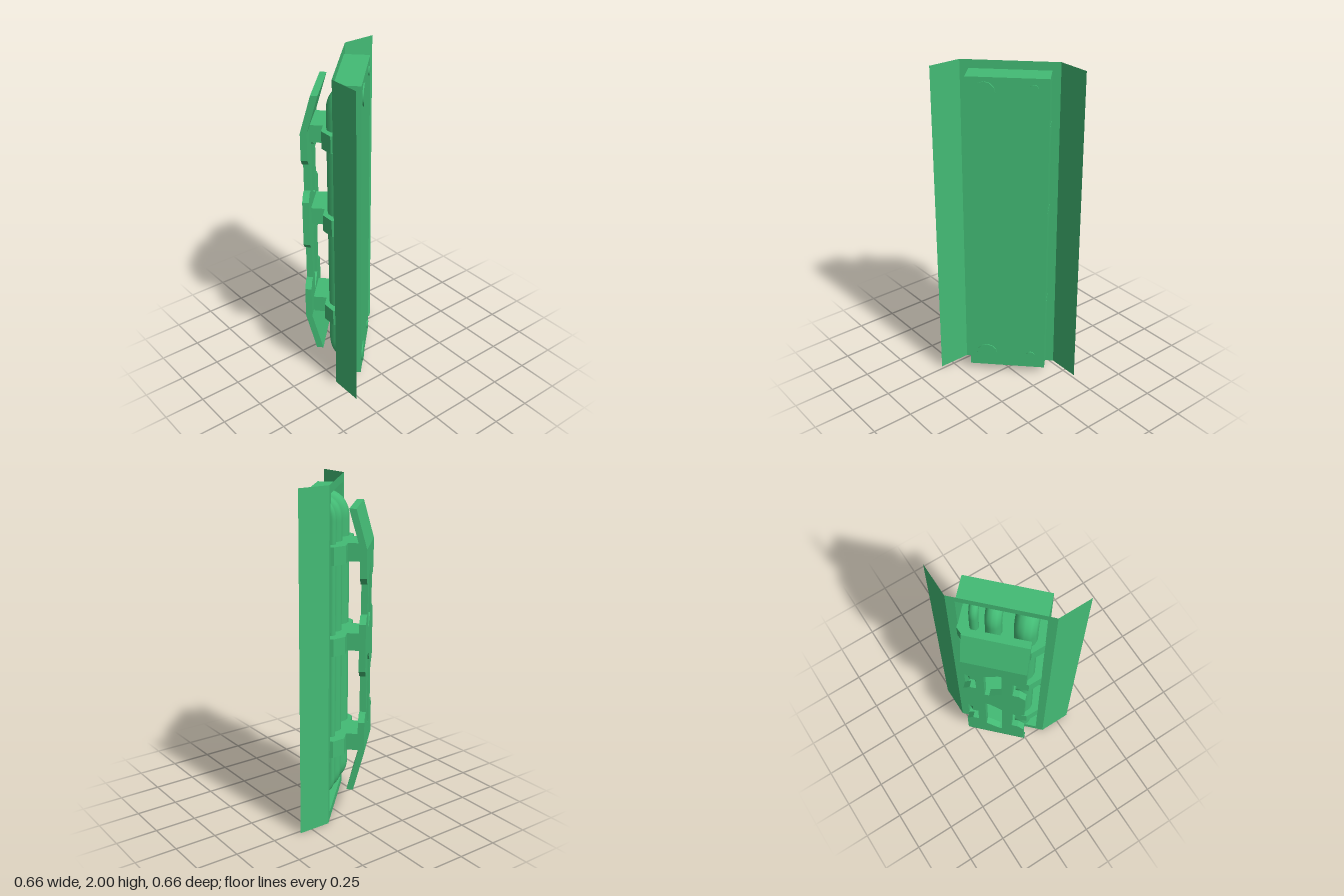
import * as THREE from 'three';

const GREEN = 0x43bb75;

export function createModel() {
  const model = new THREE.Group();
  model.name = 'wallPipeUnit';
  // Local frame: x runs along the chamfered wall, z points out of it.
  const unit = new THREE.Group();
  unit.name = 'chamferedCorner';
  unit.rotation.y = -Math.PI / 4;
  model.add(unit);

  const solid = new THREE.MeshStandardMaterial({ color: GREEN });
  const flat = new THREE.MeshStandardMaterial({ color: GREEN, flatShading: true });
  const thin = new THREE.MeshStandardMaterial({ color: GREEN, side: THREE.DoubleSide });

  const add = (name, geometry, material, parent = unit) => {
    const mesh = new THREE.Mesh(geometry, material);
    mesh.name = name;
    parent.add(mesh);
    return mesh;
  };
  const shapeOf = (pts) => new THREE.Shape(pts.map(([x, y]) => new THREE.Vector2(x, y)));
  const extrude = (shape, depth) => new THREE.ExtrudeGeometry(shape, { depth, bevelEnabled: false });

  // Wall: centre strip with an opening, and two side wings folded back 45 degrees
  const wallZ = 0.098, halfWall = 0.283, halfRecess = 0.234;
  const wall = shapeOf([[-halfWall, 0], [halfWall, 0], [halfWall, 2], [-halfWall, 2]]);
  wall.holes.push(shapeOf([[-halfRecess, 0.05], [-halfRecess, 1.95], [halfRecess, 1.95], [halfRecess, 0.05]]));
  add('wallCentre', new THREE.ShapeGeometry(wall), thin).position.z = wallZ;
  for (const side of [-1, 1]) {
    const wing = add(side < 0 ? 'rightWing' : 'leftWing', new THREE.PlaneGeometry(0.2, 2), thin);
    wing.rotation.y = side * Math.PI / 4;
    wing.position.set(side * (halfWall + 0.0707), 1, wallZ - 0.0707);
  }

  // Recess: box with its front face removed
  const backZ = -0.05, depth = wallZ - backZ;
  const recess = new THREE.BoxGeometry(halfRecess * 2, 1.9, depth);
  const faces = Array.from(recess.index.array);
  faces.splice(24, 6);
  recess.setIndex(faces);
  recess.clearGroups();
  add('recess', recess, thin).position.set(0, 1, backZ + depth / 2);

  // Pipes: vertical runs that bend back into the recess at both ends
  const pipes = [
    { name: 'largePipe', x: 0.128, r: 0.064, low: 0.14, high: 1.862, end: -0.057 },
    { name: 'mediumPipe', x: -0.043, r: 0.046, low: 0.15, high: 1.875, end: -0.046 },
    { name: 'smallPipe', x: -0.147, r: 0.026, low: 0.14, high: 1.89, end: -0.057 },
  ];
  const pipeZ = 0.09, bend = 0.1;
  for (const { name, x, r, low, high, end } of pipes) {
    const group = new THREE.Group();
    group.name = name;
    unit.add(group);
    const v = (y, z) => new THREE.Vector3(x, y, z);
    const path = new THREE.CurvePath();
    path.add(new THREE.LineCurve3(v(low, end), v(low, pipeZ - bend)));
    path.add(new THREE.QuadraticBezierCurve3(v(low, pipeZ - bend), v(low, pipeZ), v(low + bend, pipeZ)));
    path.add(new THREE.LineCurve3(v(low + bend, pipeZ), v(high - bend, pipeZ)));
    path.add(new THREE.QuadraticBezierCurve3(v(high - bend, pipeZ), v(high, pipeZ), v(high, pipeZ - bend)));
    path.add(new THREE.LineCurve3(v(high, pipeZ - bend), v(high, end)));
    add(name + 'Run', new THREE.TubeGeometry(path, 150, r, 12), solid, group);
    for (const y of [low, high]) {
      const cap = add(name + 'End', new THREE.CircleGeometry(r, 12), solid, group);
      cap.rotation.y = Math.PI;
      cap.position.set(x, y, end);
    }
  }

  // Brackets: chamfered blocks around the pipes, with a stem out to the cover
  const bracketProfile = shapeOf([
    [-halfRecess, backZ], [halfRecess, backZ], [0.236, 0.117], [0.176, 0.175], [0.103, 0.175],
    [0.103, 0.256], [-0.103, 0.256], [-0.103, 0.175], [-0.176, 0.175], [-0.236, 0.117],
  ]);
  for (const y of [0.458, 1.083, 1.607]) {
    const bracket = add('bracket', extrude(bracketProfile, 0.104), flat);
    bracket.rotation.x = Math.PI / 2;
    bracket.position.y = y + 0.052;
  }

  // Cover: flat middle plate with notched edges and two slanted slots
  const cover = new THREE.Group();
  cover.name = 'cover';
  unit.add(cover);
  const half = 0.177, innerZ = 0.254, outerZ = 0.292, bottom = 0.42, top = 1.64;
  const notch = (lo, hi) => [
    [half, lo - 0.04], [0.14, lo], [0.103, lo], [0.103, hi], [0.14, hi], [half, hi + 0.04],
  ];
  const rightEdge = [[half, bottom], ...notch(0.655, 0.89), ...notch(1.25, 1.435), [half, top]];
  const leftEdge = rightEdge.map(([x, y]) => [-x, y]).reverse();
  const plate = shapeOf([...rightEdge, ...leftEdge]);
  plate.holes.push(
    shapeOf([[-0.056, 1.167], [-0.056, 1.47], [0.025, 1.53], [0.042, 1.53], [0.042, 1.225], [-0.03, 1.167]]),
    shapeOf([[-0.056, 0.59], [-0.056, 0.997], [-0.03, 0.997], [0.042, 0.934], [0.042, 0.535], [0.025, 0.535]]),
  );
  add('coverPlate', extrude(plate, outerZ - innerZ), flat, cover).position.z = innerZ;

  // Cover ends: sloping back toward the wall
  const slope = (y0, y1) => shapeOf([
    [-innerZ, y0], [-outerZ, y0], [-0.23, y1], [-0.19, y1],
  ]);
  for (const [name, y0, y1] of [['coverTop', top, 1.862], ['coverBottom', bottom, 0.18]]) {
    const end = add(name, extrude(slope(y0, y1), half * 2), flat, cover);
    end.rotation.y = Math.PI / 2;
    end.position.x = -half;
  }

  return model;
}
